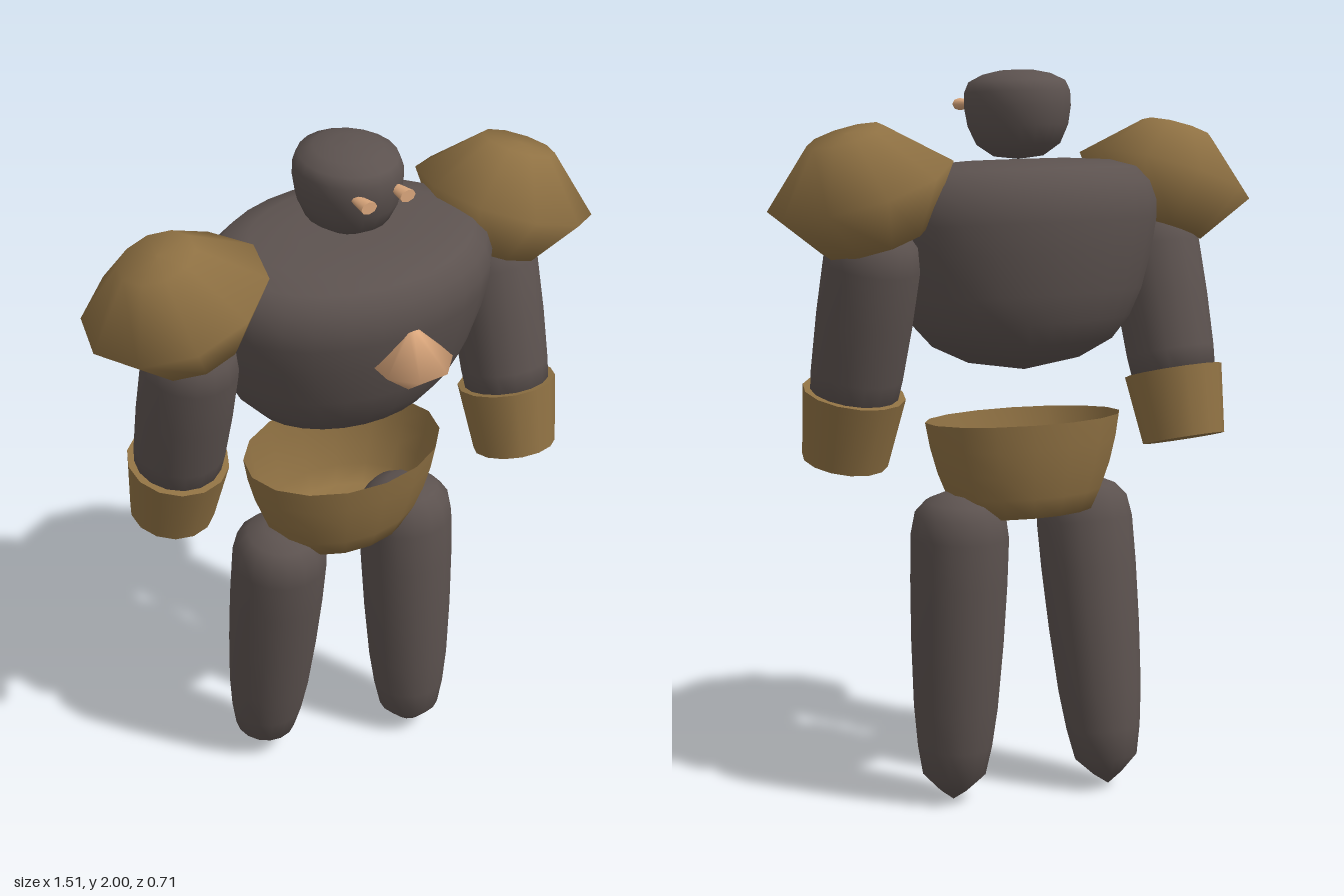
import * as THREE from 'three';

const mat = (name, color, side = THREE.FrontSide) => {
  const m = new THREE.MeshStandardMaterial({ color, side });
  m.name = name;
  return m;
};

// revolved part from [radius, height] pairs, listed bottom to top
function lathe(name, material, points, segments, phi = 0) {
  const geo = new THREE.LatheGeometry(points.map(([r, y]) => new THREE.Vector2(r, y)), segments, phi);
  const mesh = new THREE.Mesh(geo, material);
  mesh.name = name;
  return mesh;
}

export function createModel() {
  const stone = mat('darkStone', 0x5c524f);
  const bronze = mat('bronze', 0x8f7143, THREE.DoubleSide);
  const glow = mat('paleCopper', 0xdba77c);
  const model = new THREE.Group();
  model.name = 'golem';

  // barrel torso, wide and leaning slightly forward
  const torso = lathe('torso', stone, [
    [0, -0.29], [0.17, -0.262], [0.27, -0.215], [0.325, -0.155], [0.365, -0.08], [0.4, 0.03],
    [0.417, 0.11], [0.418, 0.16], [0.4, 0.21], [0.36, 0.25], [0.28, 0.271], [0.15, 0.279], [0, 0.28],
  ], 28);
  torso.scale.z = 0.74;
  torso.position.set(0, 1.48, -0.05);
  torso.rotation.x = 0.06;
  model.add(torso);

  // head with a flattened crown
  const head = lathe('head', stone, [
    [0, -0.12], [0.065, -0.112], [0.11, -0.08], [0.132, -0.03], [0.14, 0.02],
    [0.139, 0.06], [0.127, 0.088], [0.09, 0.107], [0.045, 0.117], [0, 0.119],
  ], 20);
  head.scale.z = 1.08;
  head.position.set(0, 1.88, -0.037);
  head.rotation.x = 0.04;
  model.add(head);

  // chest gem
  const gem = lathe('chestGem', glow, [[0, -0.097], [0.112, 0], [0.018, 0.09], [0, 0.093]], 8, Math.PI / 8);
  gem.position.set(0, 1.497, 0.252);
  gem.rotation.x = 0.08;
  model.add(gem);

  // hip guard, open on top
  const hips = lathe('hipGuard', bronze, [
    [0, -0.13], [0.205, -0.13], [0.235, -0.075], [0.262, -0.01], [0.282, 0.06], [0.295, 0.13],
  ], 16);
  hips.scale.z = 0.73;
  hips.position.set(0, 0.93, -0.07);
  hips.rotation.x = 0.04;
  model.add(hips);

  for (const s of [1, -1]) {
    const side = s > 0 ? 'left' : 'right';

    // small flared eye
    const eye = new THREE.Mesh(new THREE.CylinderGeometry(0.024, 0.015, 0.06, 8), glow);
    eye.name = side + 'Eye';
    eye.rotation.x = Math.PI / 2;
    eye.scale.z = 0.7;
    eye.position.set(s * 0.059, 1.905, 0.118);
    model.add(eye);

    // faceted shoulder plate tipped outward
    const shoulder = lathe(side + 'ShoulderPlate', bronze, [
      [0, -0.148], [0.145, -0.147], [0.25, 0], [0.102, 0.138], [0, 0.142],
    ], 10, Math.PI / 2);
    shoulder.position.set(s * 0.518, 1.702, -0.047);
    shoulder.rotation.z = -s * 0.33;
    model.add(shoulder);

    // arm and gauntlet, swung in opposite directions
    const arm = new THREE.Group();
    arm.name = side + 'Arm';
    arm.position.set(s * 0.483, 1.5, -0.045);
    arm.rotation.x = -s * 0.25;
    arm.add(lathe(side + 'ArmShaft', stone, [
      [0, -0.42], [0.115, -0.4], [0.124, -0.3], [0.129, -0.15], [0.129, 0.0], [0.115, 0.06], [0.075, 0.1], [0, 0.115],
    ], 16));
    const gauntlet = new THREE.Mesh(new THREE.CylinderGeometry(0.138, 0.116, 0.195, 14), bronze);
    gauntlet.name = side + 'Gauntlet';
    gauntlet.position.y = -0.452;
    arm.add(gauntlet);
    model.add(arm);

    // tapering leg with a pointed foot
    const leg = lathe(side + 'Leg', stone, [
      [0, -0.87], [0.04, -0.84], [0.088, -0.792], [0.104, -0.71], [0.117, -0.6], [0.128, -0.42],
      [0.134, -0.25], [0.135, -0.12], [0.125, -0.06], [0.095, -0.025], [0.05, -0.004], [0, 0],
    ], 16);
    leg.position.set(s * 0.208, 0.87, -0.057);
    leg.rotation.x = s > 0 ? -0.045 : 0.15;
    model.add(leg);
  }
  return model;
}
